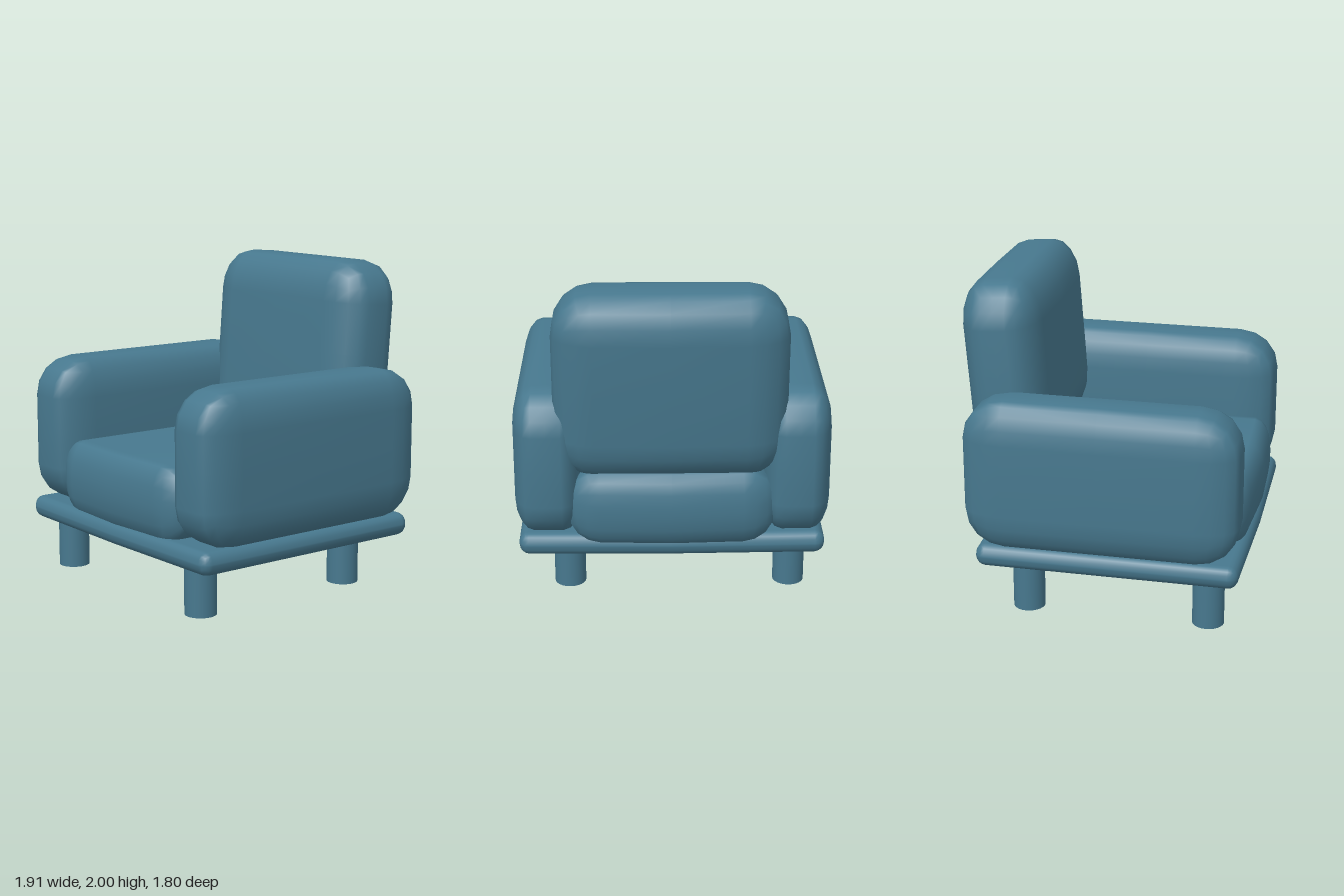
import * as THREE from 'three';
import { mergeVertices } from 'three/addons/utils/BufferGeometryUtils.js';

const fabric = new THREE.MeshStandardMaterial({ color: 0x47788e });
fabric.name = 'tealFabric';

// Padded block: min and max corners, a corner radius per axis, and a bow of the z faces
function cushion(name, min, max, radius, bow = 0) {
  const half = min.map((v, i) => (max[i] - v) / 2);
  const mid = min.map((v, i) => (max[i] + v) / 2);
  const steps = [-1, -0.414, 0, 0, 0, 0.414, 1]; // position inside the rounded corner
  const flat = [-1, -1, -1, 0, 1, 1, 1];         // position on the flat middle
  let geo = new THREE.BoxGeometry(6, 6, 6, 6, 6, 6);
  const pos = geo.attributes.position;
  const dir = new THREE.Vector3();
  for (let i = 0; i < pos.count; i++) {
    const k = [pos.getX(i), pos.getY(i), pos.getZ(i)].map(v => Math.round(v + 3));
    dir.set(...k.map(n => steps[n])).normalize();
    const p = dir.toArray().map((d, a) => flat[k[a]] * (half[a] - radius[a]) + d * radius[a]);
    p[2] *= 1 - bow * (p[0] / half[0]) ** 2;
    pos.setXYZ(i, p[0], p[1], p[2]);
  }
  geo.deleteAttribute('uv');
  geo.deleteAttribute('normal');
  geo = mergeVertices(geo, 1e-5);
  geo.computeVertexNormals();
  const mesh = new THREE.Mesh(geo, fabric);
  mesh.name = name;
  mesh.position.set(...mid);
  return mesh;
}

export function createModel() {
  const chair = new THREE.Group();
  chair.name = 'armchair';

  // Base slab and seat
  chair.add(cushion('base', [-0.93, 0.31, -0.74], [0.925, 0.45, 0.89], [0.06, 0.065, 0.06], 0.02));
  chair.add(cushion('seatCushion', [-0.63, 0.4, -0.83], [0.63, 0.88, 0.905], [0.2, 0.2, 0.11], 0.05));

  // Arms
  chair.add(cushion('leftArm', [0.535, 0.43, -0.795], [0.95, 1.36, 0.865], [0.12, 0.24, 0.25]));
  chair.add(cushion('rightArm', [-0.96, 0.43, -0.795], [-0.55, 1.36, 0.865], [0.12, 0.24, 0.25]));

  // Back cushion, leaning slightly backwards
  const back = cushion('backCushion', [-0.685, 0.84, -0.87], [0.7, 1.995, -0.365], [0.24, 0.26, 0.17], 0.1);
  back.rotation.x = -0.075;
  chair.add(back);

  // Legs
  const legGeo = new THREE.CylinderGeometry(0.097, 0.097, 0.36, 24);
  for (const x of [-0.735, 0.63]) {
    for (const z of [0.68, -0.435]) {
      const leg = new THREE.Mesh(legGeo, fabric);
      leg.name = (z > 0 ? 'front' : 'back') + (x > 0 ? 'LeftLeg' : 'RightLeg');
      leg.position.set(x, 0.18, z);
      chair.add(leg);
    }
  }
  return chair;
}
